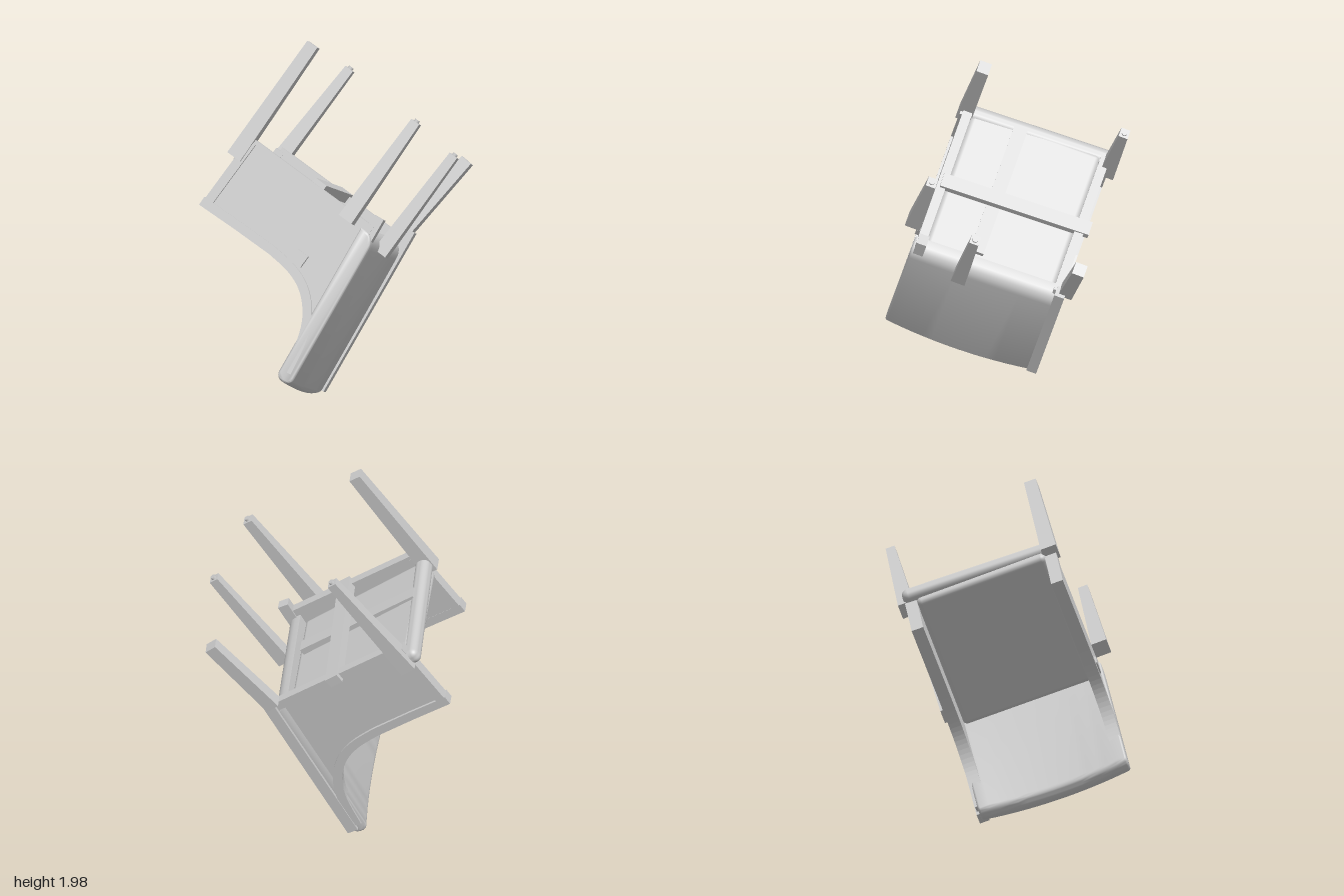
import * as THREE from 'three';
import { toCreasedNormals } from 'three/addons/utils/BufferGeometryUtils.js';
import { RoundedBoxGeometry } from 'three/addons/geometries/RoundedBoxGeometry.js';

const grey = new THREE.MeshStandardMaterial({ color: 0xcccccc });
const flat = new THREE.MeshStandardMaterial({ color: 0xcccccc, flatShading: true });

function add(parent, name, geometry, position = [0, 0, 0], material = flat) {
  const mesh = new THREE.Mesh(geometry, material);
  mesh.name = name;
  mesh.position.set(...position);
  parent.add(mesh);
  return mesh;
}

// Square tapered leg from its top to its foot, optionally with a round glide
function addLeg(parent, name, top, foot, topWidth, footWidth, glide) {
  const a = new THREE.Vector3(...top), b = new THREE.Vector3(...foot);
  const length = a.distanceTo(b);
  const leg = new THREE.Group();
  leg.name = name;
  const body = new THREE.CylinderGeometry(topWidth * Math.SQRT1_2, footWidth * Math.SQRT1_2, length, 4);
  body.rotateY(Math.PI / 4);
  add(leg, name + 'Body', body);
  if (glide) add(leg, name + 'Glide', new THREE.CylinderGeometry(0.015, 0.015, 0.014, 16), [0, -length / 2 - 0.006, 0], grey);
  leg.position.copy(a).add(b).multiplyScalar(0.5);
  leg.quaternion.setFromUnitVectors(new THREE.Vector3(0, 1, 0), a.sub(b).normalize());
  parent.add(leg);
}

// Outline in (z, y) extruded across the chair's width, centred on x = 0
function sideSlab(shape, width, options = { bevelEnabled: false }) {
  const g = new THREE.ExtrudeGeometry(shape, { depth: width, ...options });
  g.translate(0, 0, -width / 2);
  g.rotateY(-Math.PI / 2);
  return g;
}

// Back pad: rounded profile with a slightly hollowed, bowed top
function backPad(width) {
  const s = new THREE.Shape();
  s.moveTo(-0.035, -0.01);
  s.lineTo(-0.035, -0.8);
  s.quadraticCurveTo(-0.035, -0.875, 0.035, -0.875);
  s.lineTo(0.035, -0.01);
  s.quadraticCurveTo(0.03, 0.018, 0, 0.018);
  s.quadraticCurveTo(-0.03, 0.018, -0.035, -0.01);
  const bevel = 0.012;
  const g = sideSlab(s, width - 2 * bevel, {
    steps: 16, curveSegments: 8, bevelThickness: bevel, bevelSize: bevel, bevelSegments: 4,
  });
  const p = g.attributes.position;
  for (let i = 0; i < p.count; i++) {
    const bow = 1 - (2 * p.getX(i) / width) ** 2;
    const t = (p.getY(i) + 0.887) / 0.917;
    p.setZ(i, p.getZ(i) - 0.025 * bow * t);
    p.setY(i, p.getY(i) + 0.012 * bow * t);
  }
  return toCreasedNormals(g, 0.7);
}

export function createModel() {
  const chair = new THREE.Group();
  chair.name = 'armchair';
  const v = (z, y) => new THREE.Vector2(z, y);

  // Arm line: level from the front, then sweeping up into the back
  const sweep = new THREE.SplineCurve([
    v(0.62, -0.47), v(0.48, -0.455), v(0.37, -0.41), v(0.28, -0.32), v(0.225, -0.2), v(0.19, -0.02),
  ]).getPoints(24);
  const armLine = [v(1.085, -0.455), v(0.85, -0.465), ...sweep];
  // The same line shifted inwards gives the lower edge of the rail
  const innerLine = armLine.map((p, i) => {
    const a = armLine[Math.max(i - 1, 0)], b = armLine[Math.min(i + 1, armLine.length - 1)];
    const t = b.clone().sub(a).normalize();
    return v(p.x + t.y * -0.05, p.y + t.x * 0.05);
  });
  const rail = new THREE.Shape([...armLine, ...innerLine.reverse()]);
  const panel = new THREE.Shape([
    v(1.055, -0.91), ...armLine.map((p) => v(Math.min(p.x, 1.055), p.y - 0.01)), v(0.14, -0.02), v(0.255, -0.92),
  ]);

  for (const s of [-1, 1]) {
    const side = new THREE.Group();
    side.name = s < 0 ? 'rightSide' : 'leftSide';
    side.position.z = s < 0 ? 0 : 0.015;
    add(side, 'sidePanel', sideSlab(panel, 0.05), [s * 0.385, 0, 0]);
    add(side, 'armRail', sideSlab(rail, 0.065), [s * 0.391, 0, 0]);
    add(side, 'frontStile', new THREE.BoxGeometry(0.065, 0.42, 0.05), [s * 0.391, -0.68, 1.055]);
    chair.add(side);

    // Raked rear post, the right one sunk into the back pad
    const post = add(chair, s < 0 ? 'rightPost' : 'leftPost', new THREE.BoxGeometry(0.055, 0.97, 0.06),
      s < 0 ? [-0.38, -0.495, 0.207] : [0.402, -0.485, 0.195]);
    post.rotation.x = -0.115;
  }

  // Raked back
  const back = add(chair, 'back', backPad(0.835), [-0.006, 0, 0.165], grey);
  back.rotation.set(-0.115, -0.02, 0);

  // Seat slab and its rounded front roll
  const seat = add(chair, 'seat', new RoundedBoxGeometry(0.73, 0.12, 0.8, 4, 0.03), [0, -0.782, 0.7], grey);
  seat.rotation.x = 0.03;
  const roll = add(chair, 'seatFrontRoll', new RoundedBoxGeometry(0.85, 0.085, 0.085, 5, 0.035), [0.003, -0.815, 1.09], grey);
  roll.rotation.set(0, -0.031, 0.015);

  // Supports beneath the seat
  const beam = add(chair, 'crossBeam', new THREE.BoxGeometry(0.83, 0.055, 0.075), [0.022, -0.908, 0.645]);
  beam.rotation.set(0, -0.031, 0.015);
  add(chair, 'centreStrip', new THREE.BoxGeometry(0.075, 0.04, 0.74), [-0.09, -0.848, 0.71]);
  add(chair, 'sideBlock', new THREE.BoxGeometry(0.05, 0.07, 0.07), [-0.405, -0.55, 0.475]);

  // Legs
  addLeg(chair, 'frontRightLeg', [-0.395, -0.77, 1.085], [-0.386, -1.498, 1.106], 0.085, 0.066, false);
  addLeg(chair, 'frontLeftLeg', [0.42, -0.77, 1.055], [0.432, -1.455, 1.041], 0.085, 0.05, true);
  addLeg(chair, 'rearRightLeg', [-0.455, -0.865, 0.385], [-0.442, -1.503, 0.397], 0.085, 0.053, true);
  addLeg(chair, 'rearCentreLeg', [-0.13, -0.81, 0.195], [-0.123, -1.46, 0.19], 0.078, 0.05, true);
  addLeg(chair, 'rearLeftLeg', [0.43, -0.93, 0.28], [0.453, -1.442, 0.239], 0.075, 0.066, false);

  // The chair lies tipped over on its back corner, legs in the air
  const basis = new THREE.Matrix4().makeBasis(
    new THREE.Vector3(0.1, -0.28, -0.955),
    new THREE.Vector3(-0.575, -0.8, 0.175),
    new THREE.Vector3(-0.813, 0.532, -0.241),
  );
  chair.quaternion.setFromRotationMatrix(basis).normalize();
  chair.position.set(-0.03, 0.083, 0.282);

  const model = new THREE.Group();
  model.name = 'tippedArmchair';
  model.add(chair);
  return model;
}
